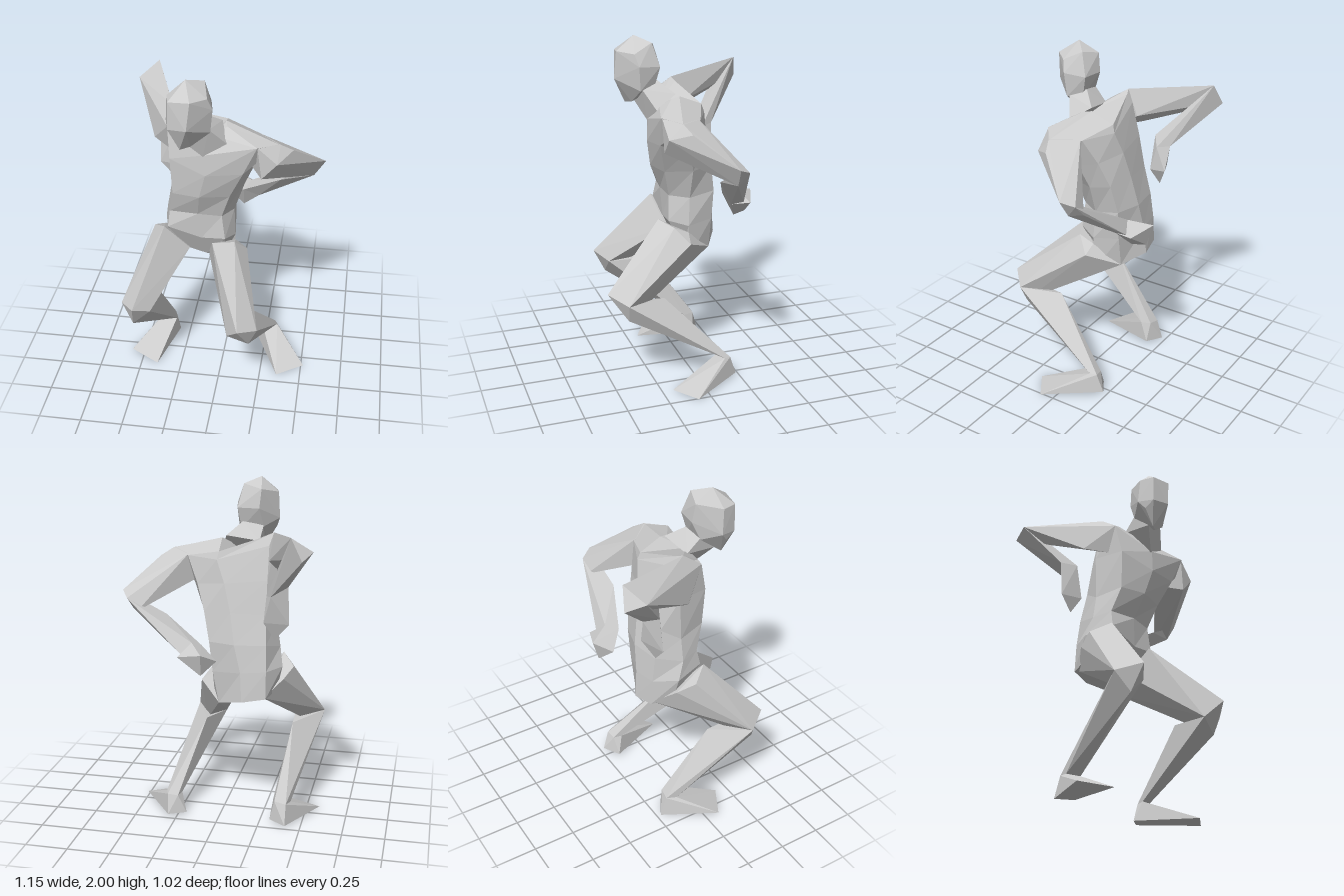
import * as THREE from 'three';
import { ConvexGeometry } from 'three/addons/geometries/ConvexGeometry.js';

const clay = new THREE.MeshStandardMaterial({ color: 0xcccccc });
clay.name = 'grey clay';

function addPart(group, name, geometry) {
  const mesh = new THREE.Mesh(geometry, clay);
  mesh.name = name;
  group.add(mesh);
}

// Faceted solid stretched around the corner points of its end sections
function hull(...sections) {
  return new ConvexGeometry(sections.flat().map(p => new THREE.Vector3(...p)));
}

// Faceted skin over a stack of closed rings, bottom to top, with both ends capped
function loft(rings) {
  const n = rings[0].length;
  const index = [];
  for (let r = 0; r < rings.length - 1; r++) {
    for (let i = 0; i < n; i++) {
      const a = r * n + i, b = r * n + (i + 1) % n;
      index.push(a, b, b + n, a, b + n, a + n);
    }
  }
  const top = (rings.length - 1) * n;
  for (let i = 1; i < n - 1; i++) {
    index.push(0, i + 1, i);
    index.push(top, top + i, top + i + 1);
  }
  const geometry = new THREE.BufferGeometry();
  geometry.setAttribute('position', new THREE.Float32BufferAttribute(rings.flat(2), 3));
  geometry.setIndex(index);
  const flat = geometry.toNonIndexed();
  flat.computeVertexNormals();
  return flat;
}

export function createModel() {
  const figure = new THREE.Group();
  figure.name = 'crouching figure';

  // Torso rings: front centre, front left, left, back left, back centre, back right, right, front right
  const seat = [[-0.10, 0.765, 0.02], [0, 0.76, 0], [0.05, 0.71, -0.03], [0, 0.73, -0.16],
    [-0.15, 0.77, -0.245], [-0.285, 0.79, -0.22], [-0.33, 0.81, -0.10], [-0.22, 0.80, 0.02]];
  const hips = [[-0.12, 0.92, 0.09], [0.02, 0.93, 0.10], [0.07, 0.90, -0.01], [0.035, 0.92, -0.165],
    [-0.14, 0.94, -0.23], [-0.285, 0.95, -0.21], [-0.36, 0.95, -0.08], [-0.32, 0.98, 0.09]];
  const waist = [[-0.14, 1.09, 0.10], [0, 1.08, 0.09], [0.06, 1.07, -0.02], [0.055, 1.10, -0.17],
    [-0.10, 1.10, -0.215], [-0.28, 1.10, -0.19], [-0.34, 1.06, -0.04], [-0.31, 1.08, 0.07]];
  const ribs = [[-0.12, 1.24, 0.165], [0.05, 1.24, 0.13], [0.12, 1.25, -0.02], [0.09, 1.27, -0.14],
    [-0.07, 1.28, -0.18], [-0.27, 1.27, -0.15], [-0.315, 1.20, -0.04], [-0.28, 1.23, 0.12]];
  const chest = [[-0.08, 1.40, 0.195], [0.13, 1.42, 0.18], [0.18, 1.40, 0.02], [0.14, 1.42, -0.09],
    [-0.03, 1.44, -0.15], [-0.27, 1.46, -0.11], [-0.315, 1.46, -0.05], [-0.29, 1.46, 0.13]];
  const shoulders = [[-0.08, 1.53, 0.19], [0.21, 1.60, 0.20], [0.32, 1.585, 0.11], [0.21, 1.57, -0.03],
    [0.02, 1.57, -0.12], [-0.27, 1.65, -0.06], [-0.30, 1.68, -0.02], [-0.305, 1.64, 0.09]];
  const collar = [[-0.06, 1.60, 0.15], [0.02, 1.62, 0.15], [0.03, 1.66, 0.08], [0.02, 1.67, 0.03],
    [0.01, 1.615, -0.106], [-0.25, 1.70, -0.035], [-0.29, 1.72, -0.02], [-0.27, 1.65, 0.09]];
  addPart(figure, 'torso', loft([seat, hips, waist, ribs, chest, shoulders, collar]));

  // Neck, tilted forward and to the right
  addPart(figure, 'neck', hull(
    [[-0.09, 1.52, 0.19], [0.04, 1.60, 0.17], [0, 1.68, 0.045], [-0.19, 1.65, 0.07]],
    [[-0.19, 1.64, 0.25], [-0.05, 1.71, 0.23], [-0.08, 1.75, 0.13], [-0.20, 1.73, 0.15]]));

  // Head: crown, temples, jaw
  addPart(figure, 'head', hull(
    [[-0.17, 2.0, 0.24], [-0.08, 1.965, 0.16], [-0.19, 1.94, 0.12], [-0.27, 1.91, 0.25],
      [-0.25, 1.91, 0.335], [-0.13, 1.92, 0.355], [-0.05, 1.91, 0.27]],
    [[-0.28, 1.76, 0.24], [-0.255, 1.75, 0.335], [-0.15, 1.76, 0.365],
      [-0.025, 1.84, 0.25], [-0.05, 1.83, 0.12], [-0.18, 1.83, 0.105]],
    [[-0.20, 1.61, 0.29], [-0.145, 1.62, 0.265], [-0.04, 1.70, 0.24], [-0.07, 1.71, 0.15],
      [-0.20, 1.72, 0.15], [-0.26, 1.71, 0.28]]));

  // Joint sections for each side of the body
  const sides = {
    left: {
      armRoot: [[0.33, 1.585, 0.11], [0.21, 1.60, 0.195], [0.235, 1.405, 0.19], [0.14, 1.44, 0.05], [0.21, 1.575, -0.02],
        [0.40, 1.54, 0.08], [0.32, 1.50, 0.19]],
      elbow: [[0.575, 1.37, -0.13], [0.53, 1.34, -0.20], [0.465, 1.27, -0.21], [0.51, 1.265, -0.14]],
      forearm: [[0.32, 1.235, -0.11]],
      wrist: [[0.09, 1.09, -0.21], [0.13, 1.12, -0.28], [0.18, 1.05, -0.31], [0.18, 1.045, -0.23]],
      hand: [[0.20, 1.05, -0.345], [0.05, 1.085, -0.405], [-0.02, 1.03, -0.31], [0.085, 0.945, -0.285], [0.06, 0.955, -0.365]],
      hip: [[-0.05, 0.92, 0.14], [0.075, 0.90, 0.08], [0.14, 0.81, 0], [0.04, 0.70, -0.02], [-0.09, 0.77, 0.01],
        [0, 0.73, -0.16], [0.07, 0.86, -0.01]],
      kneecap: [[0.145, 0.565, 0.51]],
      knee: [[0.25, 0.515, 0.41], [0.20, 0.405, 0.40], [0.075, 0.47, 0.425]],
      calf: [[0.15, 0.50, 0.17]],
      ankle: [[0.235, 0.125, -0.13], [0.325, 0.135, -0.15], [0.31, 0.13, -0.19], [0.25, 0.12, -0.18]],
      sole: [[0.515, 0.005, 0.08], [0.355, 0, 0.185], [0.20, 0.01, -0.17], [0.30, 0.015, -0.23]],
    },
    right: {
      armRoot: [[-0.29, 1.72, -0.02], [-0.305, 1.64, 0.09], [-0.29, 1.475, 0.05], [-0.41, 1.49, -0.06], [-0.275, 1.57, -0.09]],
      elbow: [[-0.455, 1.78, -0.485], [-0.52, 1.66, -0.515], [-0.565, 1.695, -0.41], [-0.44, 1.65, -0.41]],
      forearm: [],
      wrist: [[-0.41, 1.46, -0.24], [-0.32, 1.41, -0.29], [-0.285, 1.40, -0.22], [-0.32, 1.46, -0.19]],
      hand: [[-0.415, 1.24, -0.22], [-0.28, 1.26, -0.28], [-0.335, 1.15, -0.22], [-0.285, 1.25, -0.18]],
      hip: [[-0.34, 0.985, 0.10], [-0.415, 0.93, 0], [-0.37, 0.88, -0.10], [-0.26, 0.76, -0.08], [-0.20, 0.81, 0.04],
        [-0.27, 0.79, -0.20]],
      kneecap: [[-0.48, 0.60, 0.435]],
      knee: [[-0.57, 0.56, 0.31], [-0.495, 0.45, 0.36], [-0.39, 0.55, 0.36]],
      calf: [[-0.40, 0.54, 0.10]],
      ankle: [[-0.43, 0.125, -0.13], [-0.325, 0.135, -0.12], [-0.34, 0.14, -0.18], [-0.41, 0.13, -0.19]],
      sole: [[-0.58, 0.01, 0.08], [-0.40, 0, 0.18], [-0.31, 0.015, -0.17], [-0.41, 0.01, -0.23]],
    },
  };

  // Arms and legs, each segment spanning two joint sections
  for (const [side, s] of Object.entries(sides)) {
    const arm = new THREE.Group();
    arm.name = `${side} arm`;
    addPart(arm, 'upperArm', hull(s.armRoot, s.elbow));
    addPart(arm, 'forearm', hull(s.elbow, s.forearm, s.wrist));
    addPart(arm, 'hand', hull(s.wrist, s.hand));

    const leg = new THREE.Group();
    leg.name = `${side} leg`;
    addPart(leg, 'thigh', hull(s.hip, s.kneecap, s.knee));
    addPart(leg, 'shin', hull(s.knee, s.calf, s.ankle));
    addPart(leg, 'foot', hull(s.ankle, s.sole));
    figure.add(arm, leg);
  }
  return figure;
}
